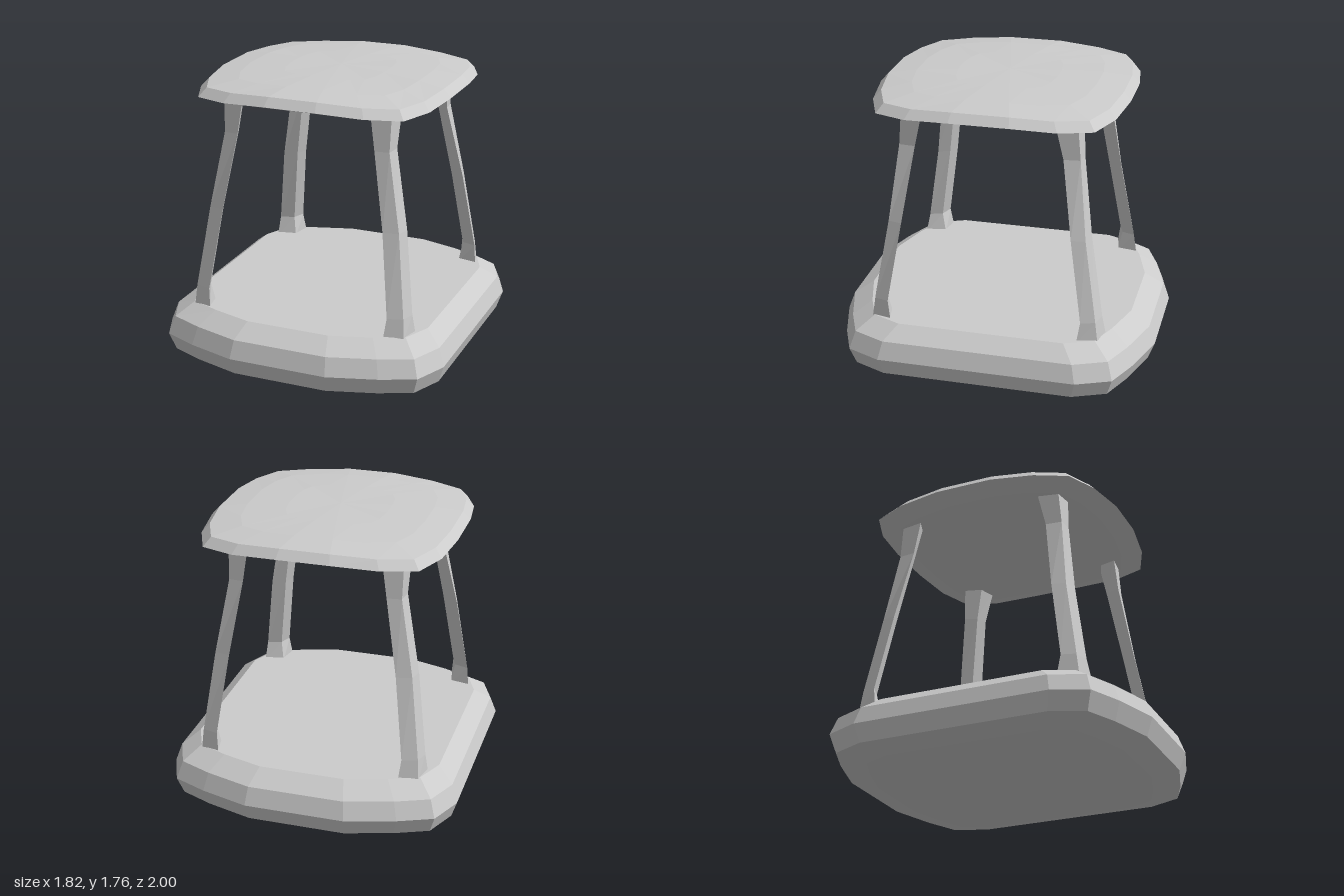
import * as THREE from 'three';

const material = new THREE.MeshStandardMaterial({ color: 0xcccccc, flatShading: true });

// Skin a stack of rings (bottom to top, counterclockwise from above) and close both ends.
function loft(name, rings, bottomY, topY) {
  const n = rings[0].length;
  const pos = [];
  const idx = [];
  rings.forEach(ring => ring.forEach(p => pos.push(...p)));
  for (let r = 0; r < rings.length - 1; r++) {
    for (let i = 0; i < n; i++) {
      const j = (i + 1) % n;
      const a = r * n + i, b = r * n + j, c = b + n, d = a + n;
      idx.push(a, b, c, a, c, d);
    }
  }
  const cap = (ring, start, y, up) => {
    const centre = pos.length / 3;
    const x = ring.reduce((s, p) => s + p[0], 0) / n;
    const z = ring.reduce((s, p) => s + p[2], 0) / n;
    pos.push(x, y, z);
    for (let i = 0; i < n; i++) {
      const a = start + i, b = start + (i + 1) % n;
      if (up) idx.push(centre, a, b);
      else idx.push(centre, b, a);
    }
  };
  cap(rings[0], 0, bottomY, false);
  cap(rings[rings.length - 1], (rings.length - 1) * n, topY, true);
  const g = new THREE.BufferGeometry();
  g.setAttribute('position', new THREE.Float32BufferAttribute(pos, 3));
  g.setIndex(idx);
  const flat = g.toNonIndexed();
  flat.computeVertexNormals();
  const mesh = new THREE.Mesh(flat, material);
  mesh.name = name;
  return mesh;
}

// Mirror a quarter outline into a full loop of [x, z].
function fullOutline(quarter) {
  const rev = [...quarter].reverse();
  return [
    ...quarter.map(([x, z]) => [x, -z]),
    ...rev.map(([x, z]) => [-x, -z]),
    ...quarter.map(([x, z]) => [-x, z]),
    ...rev.map(([x, z]) => [x, z]),
  ];
}

// Rows are [y, x scale, z scale]; droop lowers the corners.
function slabRings(outline, rows, droop = 0) {
  return rows.map(([y, sx, sz]) => outline.map(([x, z]) =>
    [x * sx, y - droop * Math.abs(x * sx * z * sz), z * sz]));
}

function createBase() {
  const outline = fullOutline([[0.91, 0.31], [0.91, 0.61], [0.82, 0.82], [0.61, 0.91], [0.31, 1]]);
  const rows = [
    [0, 0.8, 0.8], [0.04, 0.96, 0.96], [0.15, 1, 1], [0.26, 0.96, 0.96], [0.34, 0.85, 0.84],
  ];
  return loft('base', slabRings(outline, rows), 0, 0.34);
}

function createSeat() {
  const outline = fullOutline([[0.77, 0.18], [0.735, 0.45], [0.65, 0.65], [0.44, 0.735], [0.16, 0.775]]);
  const rows = [
    [1.65, 0.5, 0.5], [1.64, 0.84, 0.84], [1.685, 1, 1],
    [1.735, 0.94, 0.94], [1.753, 0.72, 0.72], [1.76, 0.4, 0.4],
  ];
  return loft('seat', slabRings(outline, rows, 0.083), 1.655, 1.762);
}

// Leg rows: y, inner x, outer x, inner z, outer z, outer ridge inset, inner ridge inset.
const LEG = [
  [0.32, 0.57, 0.72, 0.58, 0.735, 0.03, 0.025],
  [0.45, 0.585, 0.705, 0.6, 0.712, 0.025, 0.03],
  [0.95, 0.52, 0.635, 0.52, 0.625, 0.02, 0.03],
  [1.42, 0.44, 0.54, 0.45, 0.56, 0.01, 0.03],
  [1.66, 0.405, 0.55, 0.395, 0.545, 0.015, 0.04],
];

function createLeg(name, sx, sz) {
  const rings = LEG.map(([y, xi, xo, zi, zo, out, inn]) => {
    const section = [[xo, zi], [xo - out, zo - out], [xi, zo], [xi + inn, zi + inn]];
    const ring = section.map(([x, z]) => [x * sx, y, z * sz]);
    return sx * sz > 0 ? ring.reverse() : ring;
  });
  return loft(name, rings, LEG[0][0], LEG[LEG.length - 1][0]);
}

export function createModel() {
  const group = new THREE.Group();
  group.name = 'stool';
  group.add(createBase(), createSeat());
  // Four splayed legs, one at each corner
  for (const [sx, side] of [[1, 'Left'], [-1, 'Right']]) {
    for (const [sz, end] of [[1, 'front'], [-1, 'back']]) {
      group.add(createLeg(`${end}${side}Leg`, sx, sz));
    }
  }
  return group;
}
